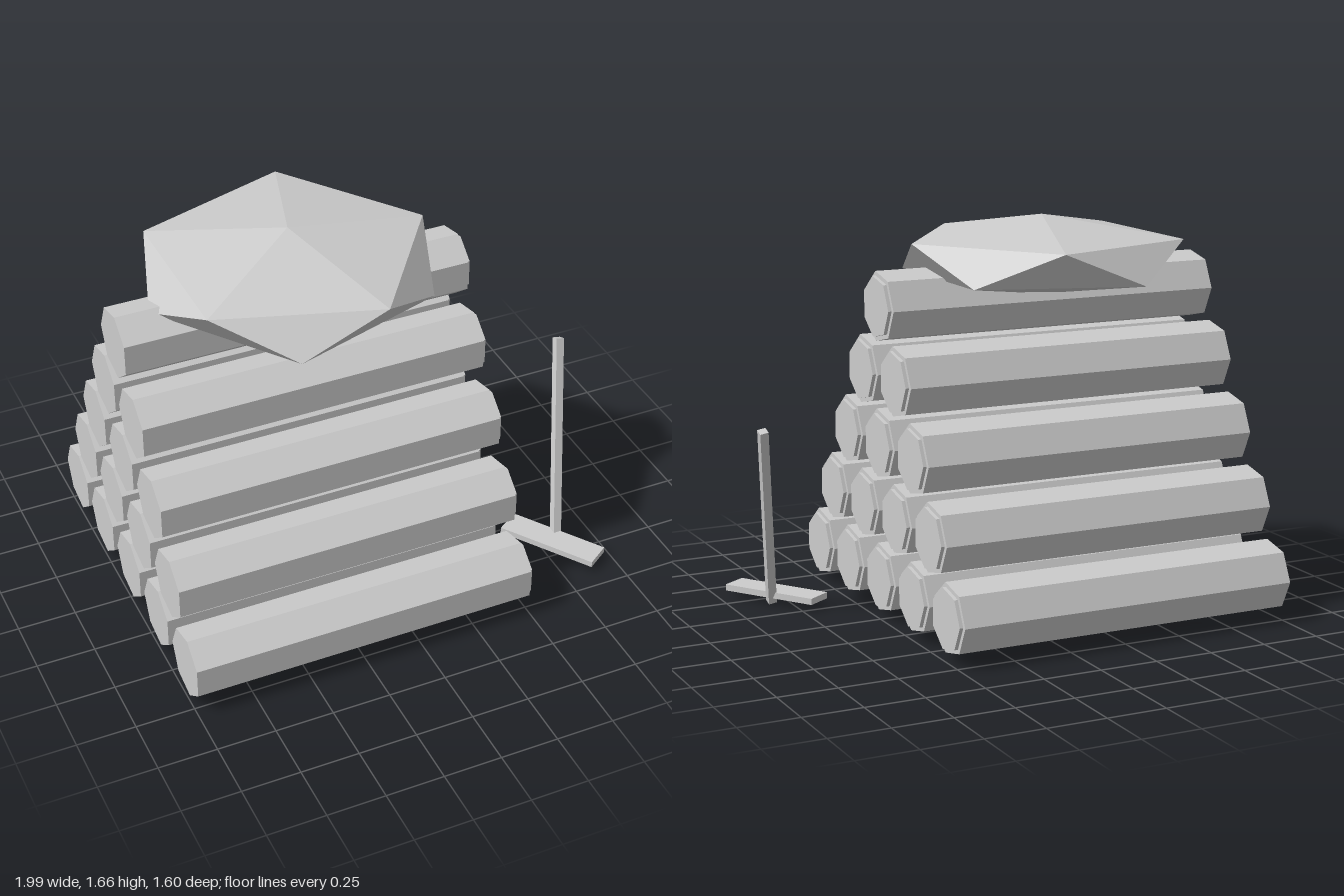
import * as THREE from 'three';
import { ConvexGeometry } from 'three/addons/geometries/ConvexGeometry.js';

const gray = new THREE.MeshStandardMaterial({ color: 0xcccccc, flatShading: true });
gray.name = 'light gray';

function part(name, geometry, parent) {
  const mesh = new THREE.Mesh(geometry, gray);
  mesh.name = name;
  parent.add(mesh);
  return mesh;
}

// Seven-sided bar lying along x, with one corner pointing to the back
function bar(radius, x0, x1) {
  const g = new THREE.CylinderGeometry(radius, radius, x1 - x0, 7, 1, false, Math.PI);
  g.rotateZ(-Math.PI / 2);
  return g.translate((x0 + x1) / 2, 0, 0);
}

// Flattened twenty-sided boulder with a pole up and one upper corner towards +x
function boulder(radius, height) {
  const points = [new THREE.Vector3(0, height, 0), new THREE.Vector3(0, -height, 0)];
  for (let i = 0; i < 10; i++) {
    const a = (i * Math.PI) / 5;
    const ring = 0.894 * radius;
    const y = (i % 2 ? -0.447 : 0.447) * height;
    points.push(new THREE.Vector3(ring * Math.cos(a), y, ring * Math.sin(a)));
  }
  return new ConvexGeometry(points);
}

export function createModel() {
  const model = new THREE.Group();
  model.name = 'woodpile';

  // Log stack: rows of 5, 4, 3, 2, 1
  const logGeometry = bar(0.148, -1, 0.49);
  const capGeometry = bar(0.129, 0.48, 0.505);
  for (let row = 0; row < 5; row++) {
    for (let i = 0; i < 5 - row; i++) {
      const log = new THREE.Group();
      log.name = 'log';
      log.position.set(0, 0.178 + row * 0.2855, 0.668 - row * 0.165 - i * 0.3305);
      part('logBark', logGeometry, log);
      part('logCutEnd', capGeometry, log);
      model.add(log);
    }
  }

  // Cover resting on the top log
  part('cover', boulder(0.666, 0.168), model).position.set(-0.25, 1.495, 0.003);

  // Axe leaning beside the stack, head down
  const axe = new THREE.Group();
  axe.name = 'axe';
  model.add(axe);
  const head = part('axeHead', new THREE.BoxGeometry(0.446, 0.027, 0.118), axe);
  head.position.set(0.793, 0.044, 0.448);
  head.rotation.y = -0.977;

  const foot = new THREE.Vector3(0.825, 0.012, 0.422);
  const tip = new THREE.Vector3(0.975, 0.835, 0.08);
  const along = tip.clone().sub(foot);
  const handle = part('axeHandle', new THREE.BoxGeometry(0.036, along.length(), 0.036), axe);
  handle.position.copy(foot).add(tip).multiplyScalar(0.5);
  handle.quaternion.setFromUnitVectors(new THREE.Vector3(0, 1, 0), along.normalize());

  return model;
}
